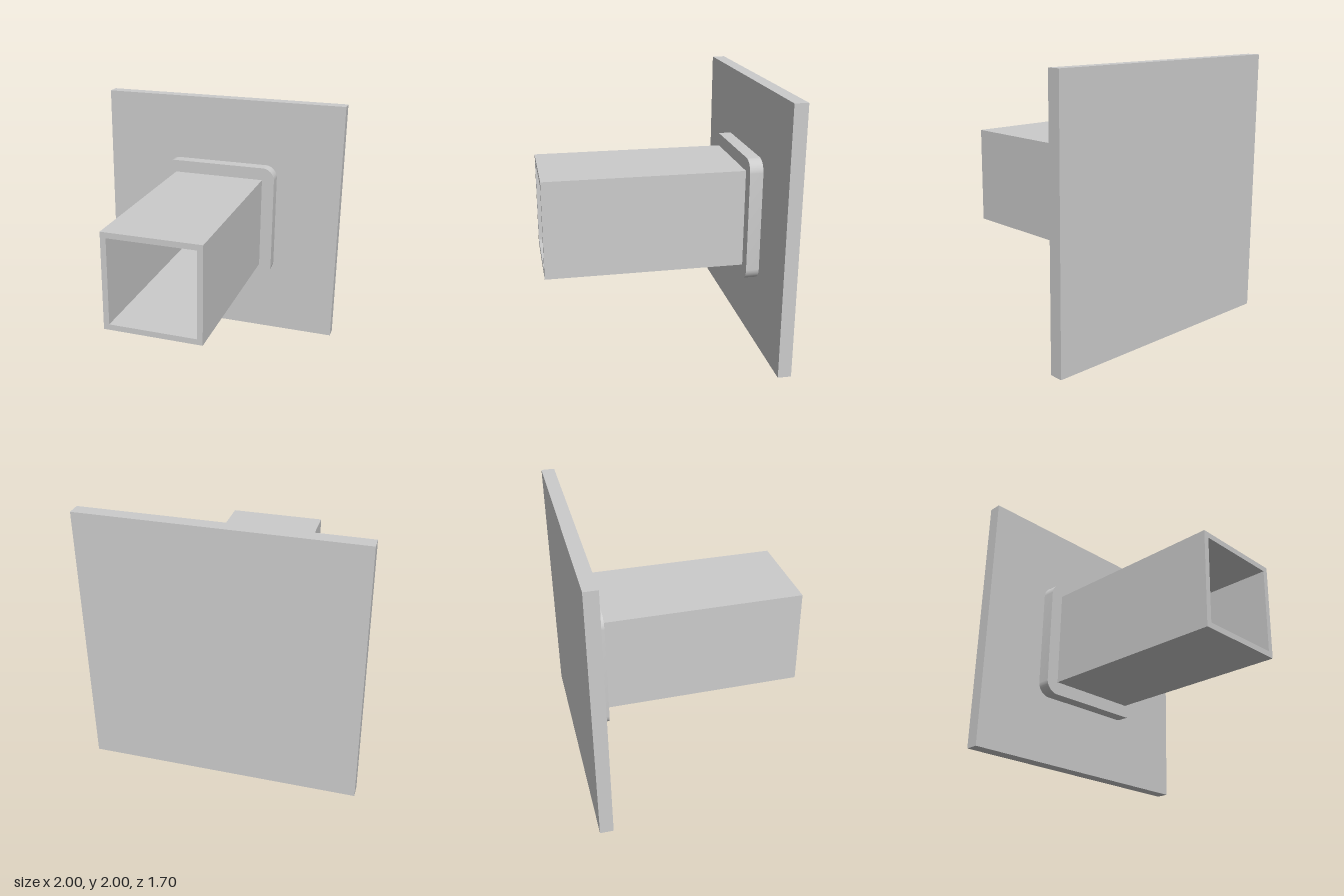
import * as THREE from 'three';
import { toCreasedNormals } from 'three/addons/utils/BufferGeometryUtils.js';

const CENTRE_Y = 1;
const BACK = -0.85, PLATE_FRONT = -0.75, COLLAR_FRONT = -0.65, TUBE_FRONT = 0.85;
const TUBE_OUTER = 0.373, TUBE_INNER = 0.33, COLLAR_HALF = 0.473, COLLAR_RADIUS = 0.1;

// Traces a centred square of half size h, with corners rounded by r
function square(path, h, r = 0) {
  if (r === 0) {
    path.moveTo(-h, -h).lineTo(h, -h).lineTo(h, h).lineTo(-h, h).closePath();
    return path;
  }
  const c = h - r;
  path.moveTo(-c, -h);
  [[1, -1], [1, 1], [-1, 1], [-1, -1]].forEach(([sx, sy], i) => {
    const start = (i - 1) * Math.PI / 2;
    path.absarc(sx * c, sy * c, r, start, start + Math.PI / 2, false);
  });
  path.closePath();
  return path;
}

// Extrudes a square ring from z0 to z1
function ring(outer, radius, inner, z0, z1) {
  const shape = square(new THREE.Shape(), outer, radius);
  shape.holes.push(square(new THREE.Path(), inner));
  const geometry = new THREE.ExtrudeGeometry(shape, {
    depth: z1 - z0, bevelEnabled: false, curveSegments: 12,
  });
  geometry.translate(0, CENTRE_Y, z0);
  return toCreasedNormals(geometry, Math.PI / 6);
}

export function createModel() {
  const group = new THREE.Group();
  group.name = 'wallBracket';
  const material = new THREE.MeshStandardMaterial({ color: 0xcccccc });

  const add = (name, geometry) => {
    const mesh = new THREE.Mesh(geometry, material);
    mesh.name = name;
    group.add(mesh);
  };

  // Square mounting plate at the back
  const plate = new THREE.BoxGeometry(2, 2, PLATE_FRONT - BACK);
  plate.translate(0, CENTRE_Y, (BACK + PLATE_FRONT) / 2);
  add('mountingPlate', plate);

  // Rounded collar fitted round the tube
  add('collar', ring(COLLAR_HALF, COLLAR_RADIUS, TUBE_OUTER, PLATE_FRONT, COLLAR_FRONT));

  // Hollow square tube, open at the front and closed by the plate
  add('squareTube', ring(TUBE_OUTER, 0, TUBE_INNER, PLATE_FRONT, TUBE_FRONT));

  return group;
}
